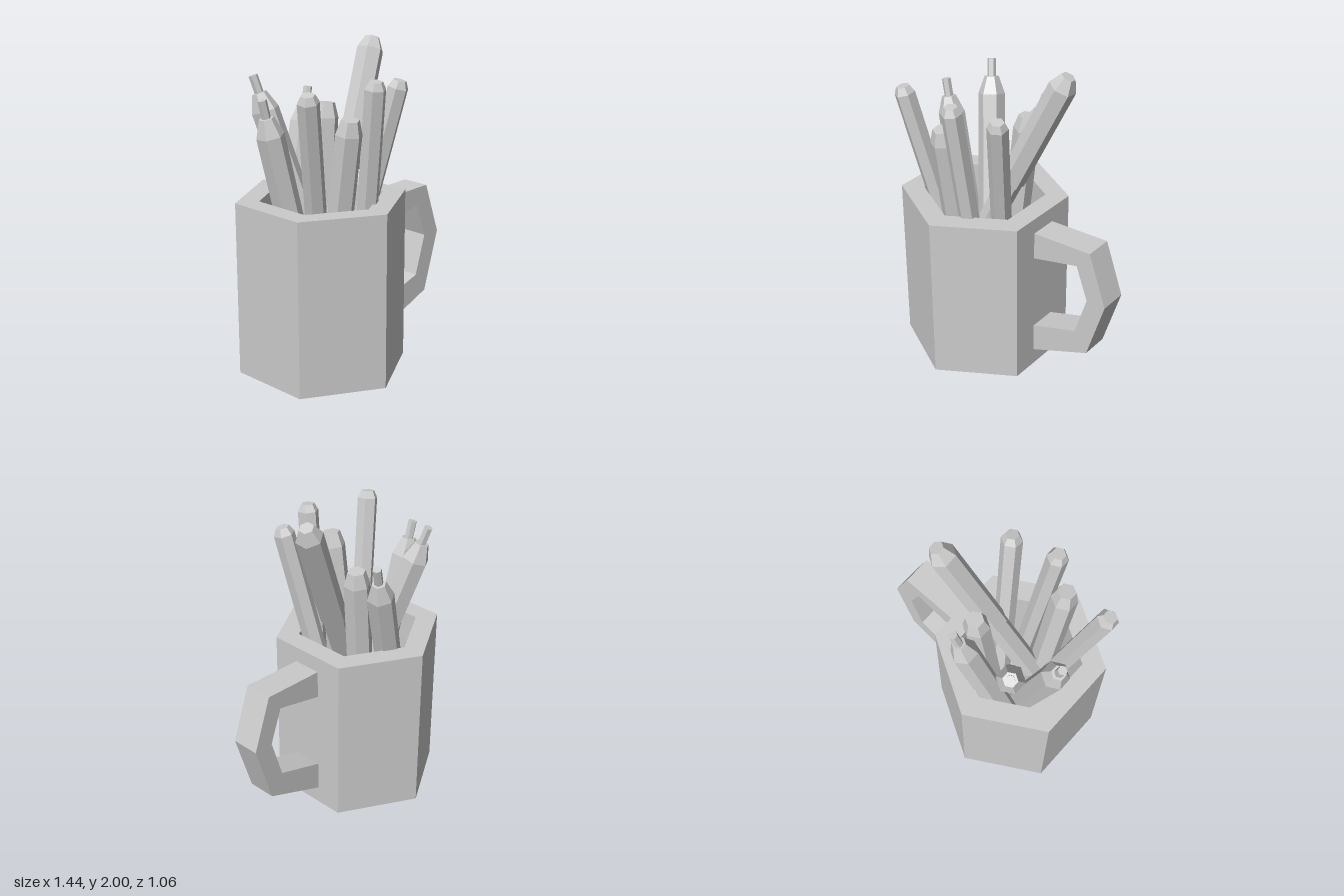
import * as THREE from 'three';

const material = new THREE.MeshStandardMaterial({ color: 0xcccccc, flatShading: true });
const CENTRE_X = -0.265;

function addMesh(parent, name, geometry) {
  const mesh = new THREE.Mesh(geometry, material);
  mesh.name = name;
  parent.add(mesh);
  return mesh;
}

// Six-sided turned shape from [radius, height] pairs, listed bottom to top
function hexLathe(pairs) {
  return new THREE.LatheGeometry(pairs.map(([r, y]) => new THREE.Vector2(r, y)), 6);
}

// Pen profiles: [radius, distance below the tip], listed from the tip down
const pencil = (length) => [[0, 0], [0.042, 0], [0.065, 0.045], [0.065, length - 0.15], [0, length]];
const marker = (length) => [[0, 0], [0.056, 0], [0.082, 0.09], [0.082, length], [0, length]];
const brushPen = (length) => [
  [0, 0], [0.028, 0], [0.028, 0.11], [0.045, 0.11], [0.085, 0.22], [0.085, length], [0, length],
];
const cappedPen = (length) => [
  [0, 0], [0.045, 0], [0.085, 0.08], [0.085, 0.82], [0.075, 0.82],
  [0.075, length - 0.06], [0.04, length], [0, length],
];

// Places a pen by its tip position and its lean (x and z change per unit of height)
function addPen(parent, { name, profile, tip, lean, length }) {
  const pairs = profile(length).map(([r, d]) => [r, -d]).reverse();
  const pen = addMesh(parent, name, hexLathe(pairs));
  pen.position.set(...tip);
  const axis = new THREE.Vector3(lean[0], 1, lean[1]).normalize();
  pen.quaternion.setFromUnitVectors(new THREE.Vector3(0, 1, 0), axis);
}

export function createModel() {
  const model = new THREE.Group();
  model.name = 'penMug';

  // Hexagonal mug with a thick rim and a hollow inside
  const mug = addMesh(model, 'mug', hexLathe([
    [0, 0], [0.53, 0], [0.53, 1.09], [0.385, 1.09], [0.385, 0.1], [0, 0.1],
  ]));
  mug.position.x = CENTRE_X;

  // Angular handle, its ends set slightly into the wall
  const outline = [
    [0.18, 0.99], [0.19, 0.99], [0.6, 1.0], [0.72, 0.66], [0.6, 0.27], [0.19, 0.11], [0.18, 0.11],
    [0.18, 0.3], [0.19, 0.3], [0.51, 0.4], [0.59, 0.66], [0.51, 0.88], [0.19, 0.81], [0.18, 0.81],
  ];
  const handleShape = new THREE.Shape(outline.map(([x, y]) => new THREE.Vector2(x, y)));
  const handle = addMesh(model, 'handle',
    new THREE.ExtrudeGeometry(handleShape, { depth: 0.184, bevelEnabled: false }));
  handle.position.z = -0.092;

  // Pens leaning out of the mug
  const pens = new THREE.Group();
  pens.name = 'pens';
  model.add(pens);
  [
    { name: 'pencilLeft', profile: pencil, tip: [-0.65, 1.805, 0.285], lean: [-0.21, 0.14], length: 1.7 },
    { name: 'pencilMiddle', profile: pencil, tip: [-0.2, 1.83, 0.375], lean: [-0.05, 0.125], length: 1.7 },
    { name: 'pencilRight', profile: pencil, tip: [0.085, 1.79, 0.305], lean: [0.135, 0.21], length: 1.7 },
    { name: 'markerFront', profile: marker, tip: [-0.335, 1.62, 0.305], lean: [-0.01, 0.15], length: 1.45 },
    { name: 'markerBack', profile: marker, tip: [-0.055, 1.61, -0.17], lean: [0.1, -0.03], length: 1.45 },
    { name: 'brushPenBack', profile: brushPen, tip: [-0.48, 1.81, -0.355], lean: [-0.2, -0.27], length: 1.65 },
    { name: 'brushPenLeft', profile: brushPen, tip: [-0.64, 1.72, -0.1], lean: [-0.22, -0.06], length: 1.6 },
    { name: 'brushPenRight', profile: brushPen, tip: [-0.045, 1.685, -0.34], lean: [0.29, -0.1], length: 1.55 },
    { name: 'cappedPen', profile: cappedPen, tip: [0.285, 1.98, -0.1], lean: [0.45, -0.14], length: 1.5 },
  ].forEach((pen) => addPen(pens, pen));

  return model;
}
